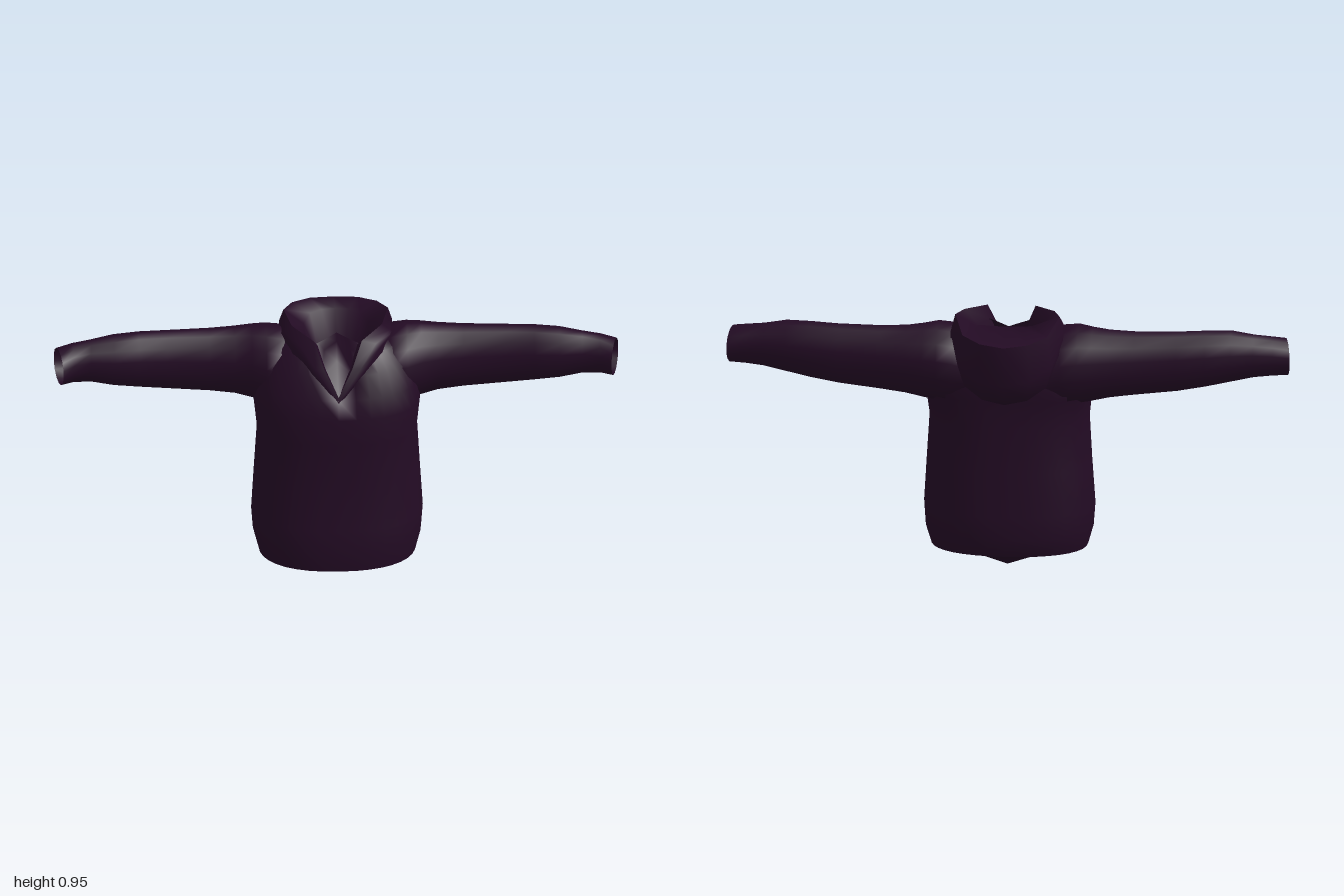
import * as THREE from 'three';

const cloth = new THREE.MeshStandardMaterial({ color: 0x230b24, side: THREE.DoubleSide });
cloth.name = 'dark plum cloth';

// Skin a list of closed rings of [x, y, z]; quads lying wholly inside a hole are left out
function loft(name, rings, inHole = () => false) {
  const n = rings[0].length;
  const points = rings.flat();
  const index = [];
  for (let i = 0; i < rings.length - 1; i++) {
    for (let j = 0; j < n; j++) {
      const a = i * n + j, b = i * n + (j + 1) % n;
      if ([a, b, a + n, b + n].every((k) => inHole(points[k]))) continue;
      index.push(a, b, a + n, b, b + n, a + n);
    }
  }
  const geo = new THREE.BufferGeometry();
  geo.setAttribute('position', new THREE.Float32BufferAttribute(points.flat(), 3));
  geo.setIndex(index);
  geo.computeVertexNormals();
  const mesh = new THREE.Mesh(geo, cloth);
  mesh.name = name;
  return mesh;
}

const power = (v, p) => Math.sign(v) * Math.abs(v) ** p;

// Horizontal body ring: flatter across the shoulder blades, with a V notch sunk into the chest
function bodyRing([y, half, front, back], backLift = 0) {
  const ring = [];
  const mid = (front + back) / 2, depth = (front - back) / 2;
  for (let j = 0; j < 36; j++) {
    const a = j / 36 * Math.PI * 2;
    const p = y > 0.6 && Math.cos(a) < 0 ? 0.7 : 0.87;
    const x = half * power(Math.sin(a), p);
    let z = mid + depth * power(Math.cos(a), p);
    const notch = Math.max(0, y - 0.72) * 0.6;
    if (z > mid && notch > 0) z -= 0.12 * Math.max(0, 1 - Math.abs(x) / notch);
    ring.push([x, y + backLift * (1 - Math.cos(a)) / 2, z]);
  }
  return ring;
}

// Vertical sleeve ring across x; the cuff edge slants with z
function sleeveRing([x, y0, y1, z0, z1, slant], side) {
  const ring = [];
  for (let j = 0; j < 14; j++) {
    const a = j / 14 * Math.PI * 2;
    const c = Math.cos(a), s = Math.sin(a);
    ring.push([
      side * (x - slant * (1 + s) / 2),
      (y0 + y1) / 2 + (y1 - y0) / 2 * c,
      (z0 + z1) / 2 + (z1 - z0) / 2 * s,
    ]);
  }
  return ring;
}

export function createModel() {
  const model = new THREE.Group();
  model.name = 'hoodedTop';

  // Body with armholes: height, half width, front z, back z
  const hem = [0.062, 0.278, 0.257, -0.137];
  const body = [
    [0.14, 0.298, 0.265, -0.165],
    [0.22, 0.304, 0.255, -0.152],
    [0.38, 0.294, 0.236, -0.155],
    [0.55, 0.284, 0.235, -0.136],
    [0.65, 0.295, 0.234, -0.148],
    [0.72, 0.285, 0.214, -0.148],
    [0.80, 0.26, 0.182, -0.14],
    [0.86, 0.215, 0.145, -0.125],
    [0.885, 0.17, 0.125, -0.105],
  ];
  const inArmhole = ([x, y, z]) => Math.abs(x) > 0.2 && y > 0.64 && y < 0.87 && z > -0.12 && z < 0.07;
  model.add(loft('body', [bodyRing(hem, 0.01), ...body.map((r) => bodyRing(r))], inArmhole));

  // Underside gathers to a short, low ridge, hollowed a little towards the back
  const hemRing = bodyRing(hem, 0.01);
  const ridge = hemRing.map(([x, , z]) => {
    const t = THREE.MathUtils.clamp((0.08 - z) / 0.135, 0, 1);
    return [x * 0.002, 0.02 * t, 0.08 - 0.135 * t];
  });
  const middle = hemRing.map(([x, y, z], j) => {
    const lift = z < 0 ? 0.014 : 0;
    return [x * 0.5, (y + ridge[j][1]) / 2 + lift, (z + ridge[j][2]) / 2];
  });
  model.add(loft('underside', [ridge, middle, hemRing]));

  // Sleeves: x, bottom, top, back z, front z, slant of the opening
  const sleeve = [
    [0.10, 0.62, 0.85, -0.145, 0.10, 0],
    [0.19, 0.615, 0.897, -0.153, 0.125, 0],
    [0.25, 0.617, 0.905, -0.145, 0.112, 0],
    [0.30, 0.628, 0.9, -0.135, 0.08, 0],
    [0.36, 0.642, 0.893, -0.124, 0.062, 0],
    [0.45, 0.653, 0.889, -0.11, 0.052, 0],
    [0.60, 0.668, 0.889, -0.093, 0.052, 0],
    [0.70, 0.683, 0.891, -0.082, 0.065, 0],
    [0.79, 0.7, 0.888, -0.068, 0.08, 0],
    [0.87, 0.716, 0.874, -0.046, 0.068, 0],
    [0.94, 0.722, 0.864, -0.04, 0.082, 0.01],
    [1.00, 0.722, 0.852, -0.034, 0.11, 0.03],
  ];
  model.add(loft('leftSleeve', sleeve.map((r) => sleeveRing(r, 1))));
  model.add(loft('rightSleeve', sleeve.map((r) => sleeveRing(r, -1)).reverse()));

  // Hood: each loop runs from the front V round to the back, then mirrors
  const loop = (half) => [
    ...half,
    ...half.slice(1, -1).reverse().map(([x, y, z]) => [-x, y, z]),
  ];
  const base = loop([[0, 0.70, 0.212], [0.09, 0.80, 0.17], [0.16, 0.855, 0.11], [0.2, 0.865, 0],
    [0.19, 0.82, -0.1], [0.13, 0.72, -0.135], [0.07, 0.68, -0.14], [0, 0.67, -0.14]]);
  const fold = loop([[0, 0.705, 0.216], [0.095, 0.82, 0.178], [0.155, 0.885, 0.115], [0.2, 0.885, 0.01],
    [0.2, 0.84, -0.1], [0.145, 0.715, -0.165], [0.08, 0.675, -0.195], [0, 0.662, -0.21]]);
  const bulge = loop([[0, 0.712, 0.217], [0.08, 0.83, 0.18], [0.135, 0.9, 0.125], [0.19, 0.9, 0.02],
    [0.2, 0.89, -0.085], [0.168, 0.8, -0.187], [0.092, 0.76, -0.241], [0, 0.745, -0.26]]);
  const rim = loop([[0, 0.73, 0.21], [0.05, 0.83, 0.18], [0.085, 0.92, 0.138], [0.16, 0.934, 0.04],
    [0.185, 0.947, -0.06], [0.15, 0.91, -0.185], [0.085, 0.897, -0.242], [0, 0.89, -0.262]]);
  const inner = loop([[0, 0.715, 0.185], [0.04, 0.80, 0.14], [0.07, 0.88, 0.09], [0.11, 0.885, 0.02],
    [0.115, 0.9, -0.04], [0.09, 0.918, -0.085], [0.048, 0.921, -0.105], [0, 0.922, -0.11]]);
  const deep = loop([[0, 0.67, 0.11], [0.03, 0.7, 0.08], [0.05, 0.73, 0.05], [0.08, 0.74, 0.01],
    [0.08, 0.75, -0.03], [0.055, 0.75, -0.055], [0.03, 0.75, -0.066], [0, 0.75, -0.07]]);
  model.add(loft('hood', [base, fold, bulge, rim]));
  model.add(loft('hoodLining', [rim, inner, deep]));

  return model;
}
